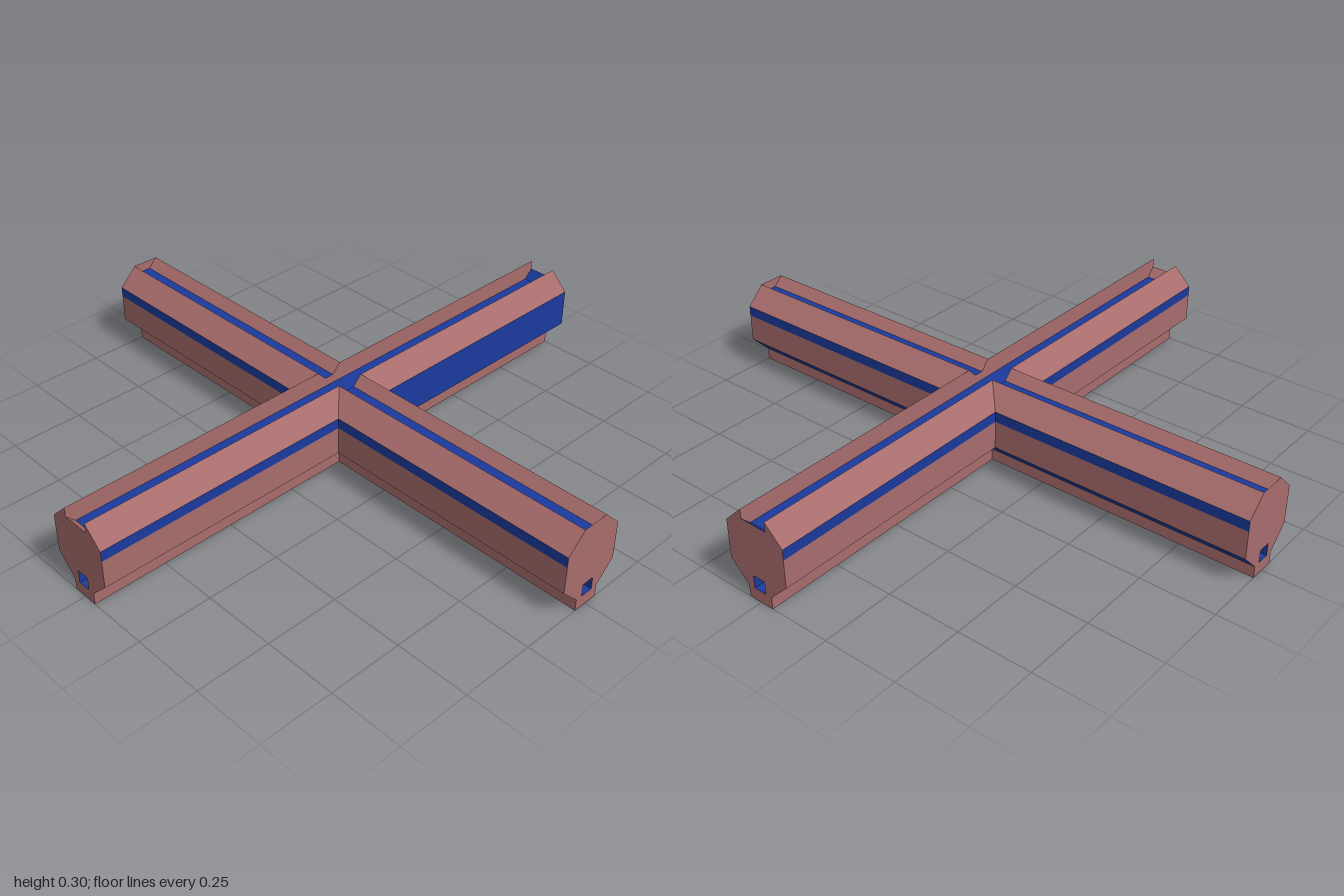
import * as THREE from 'three';

const brown = new THREE.MeshStandardMaterial({ color: 0xa86c6c, flatShading: true, side: THREE.DoubleSide });
const blue = new THREE.MeshStandardMaterial({ color: 0x1a3a9c, flatShading: true, side: THREE.DoubleSide });

const FOOT = 0.045, LIP = 0.047, SIDE = 0.11, HOLE = 0.022;
const TOP = 0.297, NOTCH = 0.265, FLOOR = 0.235;

// Flat four-cornered face
function quad(name, material, a, b, c, d) {
  const geometry = new THREE.BufferGeometry();
  geometry.setAttribute('position', new THREE.Float32BufferAttribute([a, b, c, a, c, d].flat(), 3));
  geometry.computeVertexNormals();
  const mesh = new THREE.Mesh(geometry, material);
  mesh.name = name;
  return mesh;
}

// Long panel between two profile points, mitred at 45 degrees unless a start is given
function panel(name, material, side, [u1, y1], [u2, y2], start, end = 1) {
  const corners = [
    [side * u1, y1, start ?? u1], [side * u2, y2, start ?? u2],
    [side * u2, y2, end], [side * u1, y1, end],
  ];
  if (side < 0) corners.reverse();
  return quad(name, material, ...corners);
}

function polygon(points) {
  return new THREE.Shape(points.map(([x, y]) => new THREE.Vector2(x, y)));
}

// End plate with its square hole
function endPlate(notched) {
  const half = [[FOOT, 0], [FOOT, 0.04], [SIDE, 0.105], [SIDE, 0.235], [LIP, TOP]];
  if (notched) half.push([LIP, NOTCH]);
  const mirrored = half.map(([x, y]) => [-x, y]).reverse();
  const shape = polygon([...half, ...mirrored]);
  shape.holes.push(polygon([[-HOLE, 0.04], [-HOLE, 0.083], [HOLE, 0.083], [HOLE, 0.04]]));
  const mesh = new THREE.Mesh(new THREE.ShapeGeometry(shape), brown);
  mesh.position.z = 1;
  mesh.name = 'endPlate';
  return mesh;
}

// One arm along +z; wide arms have a straight trough, the others a tapered groove
function createArm(name, wide, blueSide, slopeMaterial) {
  const arm = new THREE.Group();
  arm.name = name;
  for (const s of [1, -1]) {
    const add = (label, material, a, b, start, end) => arm.add(panel(label, material, s, a, b, start, end));
    // Outer skin
    add('underside', brown, [0, 0], [FOOT, 0]);
    add('footSide', brown, [FOOT, 0], [FOOT, 0.04]);
    add('lowerBevel', blue, [FOOT, 0.04], [SIDE, 0.105]);
    add('sidePanel', s === blueSide ? blue : brown, [SIDE, 0.105], [SIDE, 0.2]);
    add('sideStrip', blue, [SIDE, 0.2], [SIDE, 0.235]);
    add('upperBevel', brown, [SIDE, 0.235], [LIP, TOP]);
    // Top channel
    if (wide) {
      add('troughWall', brown, [LIP, TOP], [LIP, FLOOR]);
      add('troughFloor', blue, [LIP, FLOOR], [0, FLOOR], 0, 0.97);
    } else {
      add('grooveSlope', brown, [LIP, TOP], [0.016, NOTCH], LIP);
      add('grooveFloor', blue, [0.016, NOTCH], [0, NOTCH], LIP);
    }
    // Square tunnel
    add('tunnelFloor', blue, [HOLE, 0.04], [0, 0.04]);
    add('tunnelWall', blue, [HOLE, 0.083], [HOLE, 0.04]);
    add('tunnelCeiling', blue, [0, 0.083], [HOLE, 0.083]);
  }
  if (wide) {
    // Sloped end of the trough
    arm.add(quad('troughEnd', slopeMaterial,
      [-LIP, FLOOR, 0.97], [-LIP, NOTCH, 1], [LIP, NOTCH, 1], [LIP, FLOOR, 0.97]));
  } else {
    // Step from the groove down to the trough
    const step = new THREE.Mesh(new THREE.ShapeGeometry(polygon([
      [-LIP, FLOOR], [LIP, FLOOR], [LIP, TOP], [0.016, NOTCH], [-0.016, NOTCH], [-LIP, TOP],
    ])), brown);
    step.position.z = LIP;
    step.name = 'channelStep';
    arm.add(step);
  }
  arm.add(endPlate(wide));
  return arm;
}

export function createModel() {
  const model = new THREE.Group();
  model.name = 'crossBeam';
  const arms = [
    createArm('frontArm', true, 0, brown),
    createArm('leftArm', false, 0),
    createArm('backArm', true, -1, blue),
    createArm('rightArm', false, 0),
  ];
  arms.forEach((arm, i) => {
    arm.rotation.y = i * Math.PI / 2;
    model.add(arm);
  });
  return model;
}
